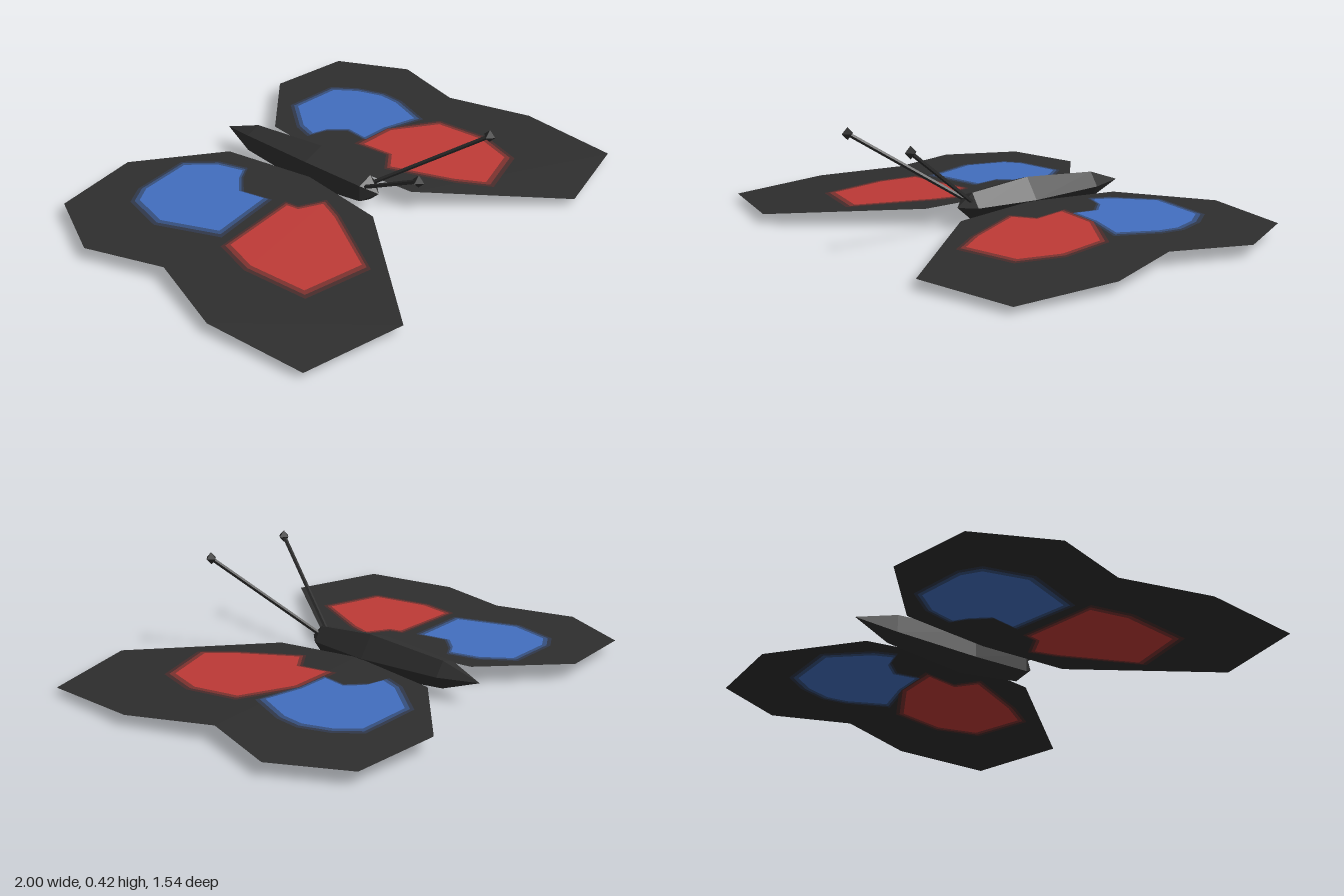
import * as THREE from 'three';

const paint = (name, color) => {
  const m = new THREE.MeshStandardMaterial({ color, side: THREE.DoubleSide, flatShading: true });
  m.name = name;
  return m;
};

// Wing outlines as [distance from body, z]; both halves meet on the fold at z = -0.1
const FOLD = -0.1;
const FORE_WING = [[0.08, FOLD], [0.88, -0.11], [1, 0.24], [0.967, 0.67], [0.55, 0.77], [0.12, 0.27]];
const HIND_WING = [[0.08, FOLD], [0.14, -0.5], [0.465, -0.775], [0.835, -0.74], [0.985, -0.44], [0.88, -0.11]];

// Wing patches, slightly different on each side
const PATCHES = {
  left: {
    blue: [[0.34, -0.575], [0.59, -0.565], [0.66, -0.47], [0.7, -0.35], [0.69, -0.25], [0.62, -0.08], [0.45, -0.125],
      [0.31, -0.13], [0.325, -0.24], [0.26, -0.31], [0.18, -0.335], [0.21, -0.42]],
    red: [[0.26, -0.13], [0.45, -0.125], [0.66, 0], [0.69, 0.22], [0.63, 0.4], [0.39, 0.47], [0.31, 0.35],
      [0.19, 0.085], [0.28, 0.02]],
  },
  right: {
    blue: [[0.57, -0.575], [0.33, -0.585], [0.235, -0.47], [0.2, -0.345], [0.26, -0.31], [0.33, -0.24],
      [0.305, -0.115], [0.6, -0.09], [0.7, -0.345], [0.65, -0.53]],
    red: [[0.64, -0.03], [0.28, -0.045], [0.27, 0.01], [0.17, 0.065], [0.21, 0.165], [0.385, 0.465],
      [0.66, 0.4], [0.685, 0.13]],
  },
};

// Height of the wing: it droops outward and away from the fold
const wingHeight = (x, z) =>
  0.09 - 0.035 * Math.abs(x) - (z > FOLD ? 0.035 * (z - FOLD) : 0.011 * (FOLD - z));

// Flat outline laid onto the wing surface, raised by lift
function wingSheet(outline, side, lift) {
  const shape = new THREE.Shape(outline.map(([x, z]) => new THREE.Vector2(side * x, -z)));
  const geo = new THREE.ShapeGeometry(shape).rotateX(-Math.PI / 2);
  const p = geo.attributes.position;
  for (let i = 0; i < p.count; i++) p.setY(i, wingHeight(p.getX(i), p.getZ(i)) + lift);
  geo.computeVertexNormals();
  return geo;
}

// Grow or shrink an outline about its middle
function scaled(outline, k) {
  const cx = outline.reduce((s, q) => s + q[0], 0) / outline.length;
  const cz = outline.reduce((s, q) => s + q[1], 0) / outline.length;
  return outline.map(([x, z]) => [cx + (x - cx) * k, cz + (z - cz) * k]);
}

export function createModel() {
  const black = paint('charcoal', 0x2e2e2e);
  const layers = {
    blue: [paint('navy rim', 0x30384a), paint('deep blue rim', 0x36507f), paint('blue', 0x426ebf)],
    red: [paint('maroon rim', 0x482c2b), paint('deep red rim', 0x7c322f), paint('red', 0xbe3a36)],
  };
  const model = new THREE.Group();
  const add = (parent, name, geo, mat) => {
    const mesh = new THREE.Mesh(geo, mat);
    mesh.name = name;
    parent.add(mesh);
    return mesh;
  };

  // Five-sided spindle body lying along z
  const profile = [[0, -0.64], [0.06, -0.48], [0.09, -0.13], [0.06, 0.14], [0, 0.2]]
    .map(([r, z]) => new THREE.Vector2(r, z));
  const body = new THREE.LatheGeometry(profile, 5, Math.PI / 2).rotateX(Math.PI / 2);
  add(model, 'body', body, black).position.y = 0.09;

  for (const [sideName, side] of [['left', 1], ['right', -1]]) {
    // Wing halves
    const wing = new THREE.Group();
    wing.name = `${sideName}Wing`;
    model.add(wing);
    add(wing, 'foreWing', wingSheet(FORE_WING, side, 0), black);
    add(wing, 'hindWing', wingSheet(HIND_WING, side, 0), black);

    // Layered patches on the upper and lower faces
    for (const hue of ['blue', 'red']) {
      [1.05, 0.99, 0.92].forEach((k, i) => {
        const lift = 0.002 + i * 0.001 + (hue === 'red' ? 0.0005 : 0);
        const outline = scaled(PATCHES[sideName][hue], k);
        add(wing, `${hue}PatchTop`, wingSheet(outline, side, lift), layers[hue][i]);
        add(wing, `${hue}PatchUnder`, wingSheet(outline, side, -lift), layers[hue][i]);
      });
    }

    // Antenna with a diamond tip
    const antenna = new THREE.Group();
    antenna.name = `${sideName}Antenna`;
    model.add(antenna);
    const base = new THREE.Vector3(side * 0.025, 0.115, 0.15);
    const tip = new THREE.Vector3(side * 0.22, 0.4, 0.565);
    const stalk = add(antenna, 'stalk', new THREE.CylinderGeometry(0.009, 0.009, base.distanceTo(tip), 5), black);
    stalk.position.copy(base).lerp(tip, 0.5);
    stalk.quaternion.setFromUnitVectors(new THREE.Vector3(0, 1, 0), tip.clone().sub(base).normalize());
    add(antenna, 'knob', new THREE.OctahedronGeometry(0.026), black).position.copy(tip);
  }
  return model;
}
